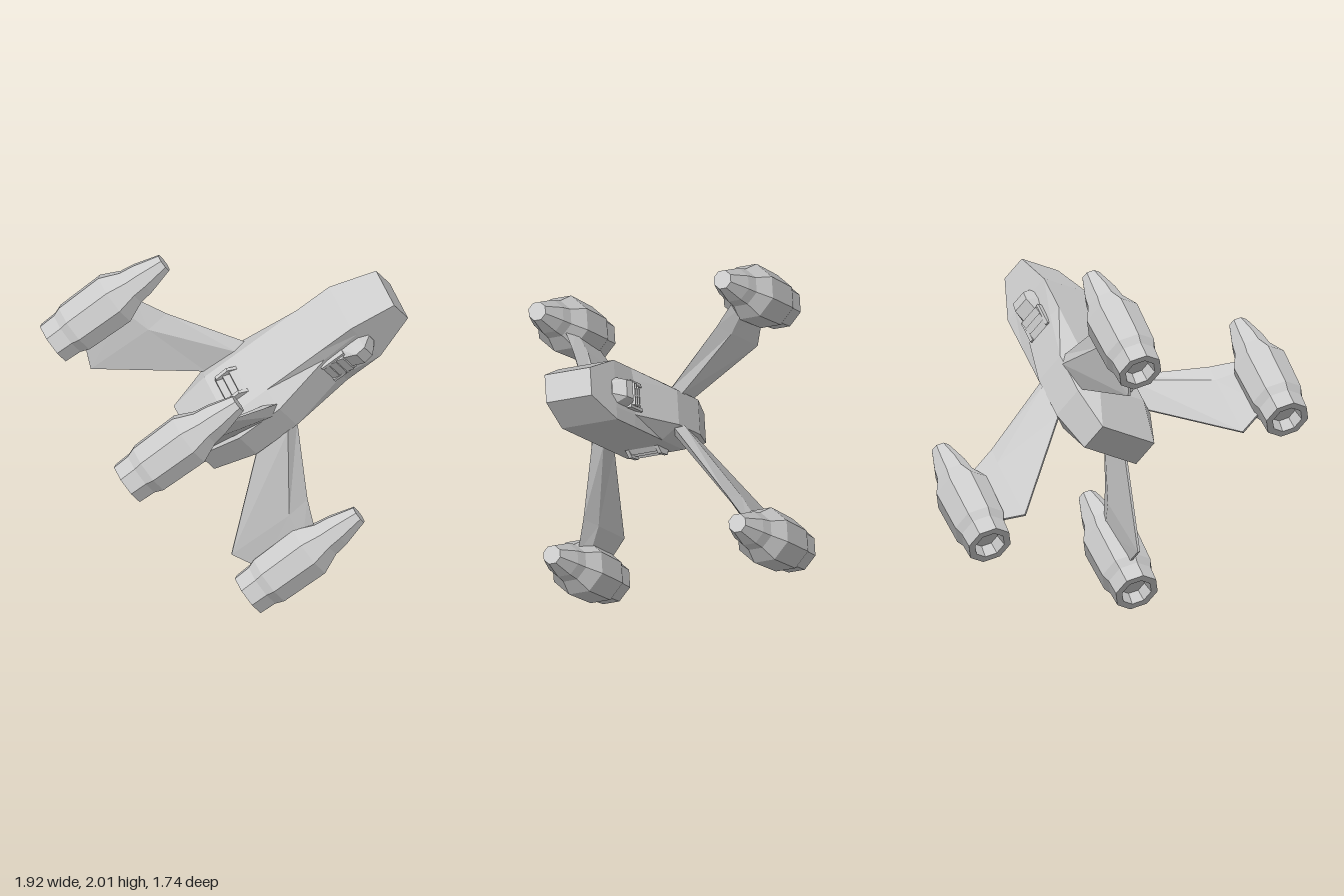
import * as THREE from 'three';

const mat = new THREE.MeshStandardMaterial({ color: 0xcccccc, flatShading: true, side: THREE.DoubleSide });

// Skin a list of equal-length sections (each a ring of [x, y, z]) and close both ends.
function loft(sections) {
  const n = sections[0].length, last = (sections.length - 1) * n, index = [];
  for (let i = 0; i < sections.length - 1; i++) {
    for (let j = 0; j < n; j++) {
      const a = i * n + j, b = i * n + (j + 1) % n;
      index.push(a, b, b + n, a, b + n, a + n);
    }
  }
  for (let j = 1; j < n - 1; j++) {
    index.push(0, j + 1, j, last, last + j, last + j + 1);
  }
  const geo = new THREE.BufferGeometry();
  geo.setAttribute('position', new THREE.Float32BufferAttribute(sections.flat(2), 3));
  geo.setIndex(index);
  const flat = geo.toNonIndexed();
  flat.computeVertexNormals();
  return flat;
}

function add(parent, name, geo) {
  const mesh = new THREE.Mesh(geo, mat);
  mesh.name = name;
  parent.add(mesh);
  return mesh;
}

// Hull section: flat top and bottom, bevels and side walls.
const hullSection = ([z, w, sideH, topW, h]) => [
  [w, -sideH, z], [w, sideH, z], [topW, h, z], [-topW, h, z],
  [-w, sideH, z], [-w, -sideH, z], [-topW, -h, z], [topW, -h, z],
];

// Swept wing with a sharp leading edge, a ridge and a thin trailing edge.
function wing(sx, sy) {
  const dir = [0.455, 0.89], nor = [-0.89, 0.455], root = [0.25, 0.11];
  const stations = [ // span, leading z, trailing z, half thickness
    [0, 0.07, -0.21, 0.04],
    [0.42, -0.17, -0.70, 0.035],
    [0.60, -0.25, -0.62, 0.03],
  ];
  return loft(stations.map(([s, lead, trail, t]) => {
    const p = (n, z) => [
      sx * (root[0] + dir[0] * s + nor[0] * n),
      sy * (root[1] + dir[1] * s + nor[1] * n), z];
    const ridge = lead + (trail - lead) * 0.25;
    const ring = [p(t, ridge), p(0, lead), p(-t, ridge), p(-0.007, trail), p(0.007, trail)];
    return sx * sy < 0 ? ring.reverse() : ring;
  }));
}

// Eight-sided engine body with a hollow exhaust, nose at z = 0.
function engineGeometry() {
  const profile = [
    [0, -0.70], [0.075, -0.70], [0.09, -0.77], [0.13, -0.77], [0.135, -0.67], [0.155, -0.62],
    [0.162, -0.34], [0.11, -0.23], [0.098, -0.15], [0.055, 0], [0, 0],
  ].map(([r, z]) => new THREE.Vector2(r, z));
  return new THREE.LatheGeometry(profile, 8, Math.PI / 8).rotateX(Math.PI / 2);
}

// Canopy blister on the side of the nose: sloped shell with stepped panes behind.
function canopy() {
  const g = new THREE.Group();
  g.name = 'canopy';
  const section = ([z, h, x]) => [[0.15, -h, z], [x, -h * 0.6, z], [x, h * 0.6, z], [0.15, h, z]];
  add(g, 'canopyShell', loft([
    [0.50, 0.085, 0.205], [0.58, 0.085, 0.245], [0.64, 0.08, 0.235], [0.69, 0.05, 0.17],
  ].map(section)));
  for (let i = 0; i < 3; i++) {
    const pane = add(g, 'canopyPane', new THREE.BoxGeometry(0.03, 0.13, 0.045));
    pane.position.set(0.185 + i * 0.008, 0, 0.40 + i * 0.045);
    pane.rotation.y = 0.35;
  }
  for (const s of [-1, 1]) {
    const rail = add(g, 'canopyRail', new THREE.BoxGeometry(0.05, 0.02, 0.15));
    rail.position.set(0.18, s * 0.07, 0.45);
  }
  return g;
}

// Louvred vent on the flat top of the hull.
function vent() {
  const g = new THREE.Group();
  g.name = 'vent';
  for (const s of [-1, 1]) {
    const cheek = new THREE.Shape([[-0.19, 0.14], [-0.16, 0.20], [-0.08, 0.205], [-0.02, 0.16]]
      .map(([z, y]) => new THREE.Vector2(-z, y)));
    const geo = new THREE.ExtrudeGeometry(cheek, { depth: 0.022, bevelEnabled: false });
    geo.rotateY(Math.PI / 2).translate(s * 0.09 - 0.011, 0, 0);
    add(g, 'ventCheek', geo);
  }
  for (let i = 0; i < 3; i++) {
    const slat = add(g, 'ventSlat', new THREE.BoxGeometry(0.17, 0.012, 0.045));
    slat.position.set(0, 0.175, -0.15 + i * 0.045);
    slat.rotation.x = 0.5;
  }
  return g;
}

export function createModel() {
  const model = new THREE.Group();
  model.name = 'spacecraft';
  const ship = new THREE.Group();
  ship.name = 'tiltedShip';
  model.add(ship);

  // Hull: tapered tail, wide waist, square nose.
  add(ship, 'hull', loft([
    [-0.47, 0.20, 0.085, 0.20, 0.085],
    [-0.22, 0.28, 0.10, 0.17, 0.17],
    [0.06, 0.28, 0.10, 0.17, 0.17],
    [0.42, 0.18, 0.10, 0.17, 0.17],
    [0.65, 0.17, 0.10, 0.17, 0.17],
    [0.91, 0.14, 0.08, 0.14, 0.08],
  ].map(hullSection)));

  // Four wings, each carrying an engine.
  const engine = engineGeometry();
  for (const sx of [-1, 1]) {
    for (const sy of [-1, 1]) {
      add(ship, 'wing', wing(sx, sy));
      add(ship, 'engine', engine).position.set(sx * 0.57, sy * 0.70, 0);
    }
  }

  // Matching canopies and vents on opposite sides.
  for (const turn of [0, Math.PI]) {
    for (const part of [canopy(), vent()]) {
      part.rotation.z = turn;
      ship.add(part);
    }
  }

  // Banked, climbing pose.
  const basis = new THREE.Matrix4().makeBasis(
    new THREE.Vector3(0.083, 0.324, -0.942).normalize(),
    new THREE.Vector3(-0.644, 0.740, 0.196).normalize(),
    new THREE.Vector3(0.760, 0.590, 0.270).normalize());
  ship.quaternion.setFromRotationMatrix(basis);
  ship.position.set(0.2, 1.255, 0.117);
  return model;
}
